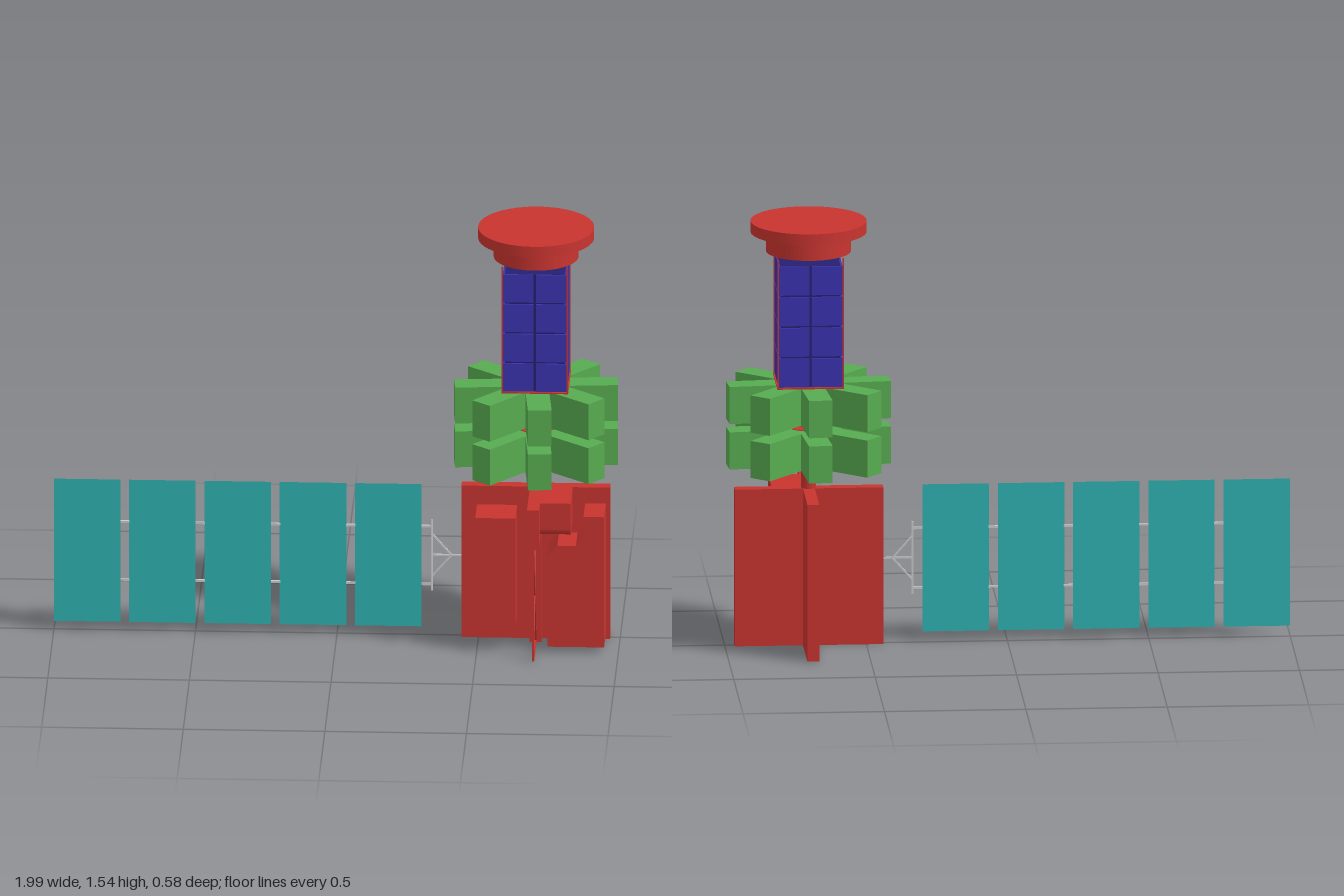
import * as THREE from 'three';

const mat = (color) => new THREE.MeshStandardMaterial({ color, side: THREE.DoubleSide });
const RED = mat(0xc8342f), GREEN = mat(0x57ab50), BLUE = mat(0x3a33b0), DARK = mat(0x262070),
  TEAL = mat(0x2fb2b2), GREY = mat(0xcccccc);
const AXIS = 0.703; // x of the tower axis

export function createModel() {
  const model = new THREE.Group();

  const add = (name, geometry, material, parent = model) => {
    const mesh = new THREE.Mesh(geometry, material);
    mesh.name = name;
    parent.add(mesh);
    return mesh;
  };
  // Box given by its lower and upper limits on each axis
  const block = (name, [x0, x1], [y0, y1], [z0, z1], material, parent) => {
    const mesh = add(name, new THREE.BoxGeometry(x1 - x0, y1 - y0, z1 - z0), material, parent);
    mesh.position.set((x0 + x1) / 2, (y0 + y1) / 2, (z0 + z1) / 2);
    return mesh;
  };
  const disc = (name, r, y0, y1, material = RED) => {
    const mesh = add(name, new THREE.CylinderGeometry(r, r, y1 - y0, 48), material);
    mesh.position.set(AXIS, (y0 + y1) / 2, 0);
    return mesh;
  };
  // Thin square bar between two points
  const bar = (name, a, b, t, material) => {
    const p = new THREE.Vector3(...a), q = new THREE.Vector3(...b);
    const mesh = add(name, new THREE.BoxGeometry(t, t, p.distanceTo(q)), material);
    mesh.position.copy(p).add(q).multiplyScalar(0.5);
    mesh.lookAt(q);
    return mesh;
  };

  // Central post and top cap
  disc('centralPost', 0.027, 0.02, 1.44);
  disc('capLower', 0.15, 1.43, 1.5);
  disc('capUpper', 0.205, 1.5, 1.54);

  // Cross-shaped base: side fins, back fin and short front fin
  const t = 0.021;
  block('sideFins', [0.44, 0.965], [0, 0.57], [-t, t], RED);
  block('backFin', [AXIS - t, AXIS + t], [0, 0.57], [-0.26, 0], RED);
  block('frontFin', [AXIS - t, AXIS + t], [0, 0.57], [0, 0.06], RED);
  block('frontFinTop', [AXIS - t, AXIS + t], [0.42, 0.57], [0.06, 0.263], RED);

  // Open truss under the front fin top
  const trussBars = [
    [[0.004, 0.06], [0.004, 0.258]], [[0.004, 0.258], [0.42, 0.258]],
    [[0.01, 0.255], [0.415, 0.06]], [[0.415, 0.255], [0.01, 0.06]],
  ];
  for (const [[ya, za], [yb, zb]] of trussBars)
    bar('trussBar', [AXIS, ya, za], [AXIS, yb, zb], 0.008, RED);

  // Equipment boxes on the front of the side fins
  block('leftBayBox', [0.495, 0.637], [0.09, 0.5], [t, 0.16], RED).name = 'rightEquipmentBox';
  const stepped = new THREE.Shape([
    [0.75, 0.02], [0.95, 0.02], [0.95, 0.51], [0.877, 0.51],
    [0.877, 0.43], [0.85, 0.4], [0.785, 0.4], [0.75, 0.36],
  ].map(([x, y]) => new THREE.Vector2(x, y)));
  const steppedGeo = new THREE.ExtrudeGeometry(stepped, { depth: 0.16 - t, bevelEnabled: false });
  add('leftEquipmentBox', steppedGeo, RED).position.z = t;

  // Small box near the top with a rounded lower front edge; profile in z, y
  const profile = new THREE.Shape();
  profile.moveTo(0.015, 0.57);
  profile.lineTo(0.015, 0.447);
  profile.lineTo(0.165, 0.447);
  profile.quadraticCurveTo(0.19, 0.45, 0.19, 0.475);
  profile.lineTo(0.19, 0.57);
  const upperGeo = new THREE.ExtrudeGeometry(profile, { depth: 0.11, bevelEnabled: false });
  upperGeo.rotateY(-Math.PI / 2); // profile runs along +z, depth along -x
  add('upperEquipmentBox', upperGeo, RED).position.x = 0.833;

  // Two rings of eight radial boxes
  for (const [y0, y1] of [[0.655, 0.79], [0.82, 0.955]]) {
    const ring = new THREE.Group();
    ring.name = 'boxRing';
    ring.position.x = AXIS;
    model.add(ring);
    for (let i = 0; i < 8; i++) {
      const arm = new THREE.Group();
      arm.name = 'radialBoxArm';
      arm.rotation.y = THREE.MathUtils.degToRad(5 + i * 45);
      ring.add(arm);
      block('radialBox', [0, 0.288], [y0, y1], [-0.042, 0.042], GREEN, arm);
    }
    disc('ringCollar', 0.07, y0 - 0.002, y1 + 0.002);
  }

  // Square upper tower clad with cells, two columns by four rows on each face
  const half = 0.113;
  block('towerFloor', [AXIS - 0.118, AXIS + 0.118], [0.955, 0.96], [-0.118, 0.118], RED);
  block('towerCore', [AXIS - 0.106, AXIS + 0.106], [0.96, 1.4], [-0.106, 0.106], DARK);
  for (let side = 0; side < 4; side++) {
    const face = new THREE.Group();
    face.name = 'towerFace';
    face.position.x = AXIS;
    face.rotation.y = side * Math.PI / 2;
    model.add(face);
    for (let row = 0; row < 4; row++) {
      const y = 0.961 + row * 0.1115;
      for (const x of [-half, 0.004])
        block('towerCell', [x, x + 0.109], [y, y + 0.104], [0.1, half], BLUE, face);
    }
    block('cornerRod', [half - 0.001, half + 0.004], [0.96, 1.43], [half - 0.001, half + 0.004], RED, face);
  }

  // Wing of five thin panels joined by short links
  const wingZ = 0.013, pitch = 0.266, width = 0.235;
  for (let i = 0; i < 5; i++) {
    const x = -1 + i * pitch;
    const panel = add('wingPanel', new THREE.PlaneGeometry(width, 0.535), TEAL);
    panel.position.set(x + width / 2, 0.3025, wingZ);
    for (const y of [0.195, 0.412])
      bar('panelLink', [x + width, y, wingZ], [x + pitch + 0.002, y, wingZ], 0.008, GREY);
  }

  // Wing mount: upright, two braces and a root rod
  bar('mountUpright', [0.335, 0.172, wingZ], [0.335, 0.436, wingZ], 0.007, GREY);
  bar('mountRod', [0.335, 0.305, wingZ], [0.445, 0.305, wingZ], 0.006, GREY);
  for (const y of [0.225, 0.385])
    bar('mountBrace', [0.335, y, wingZ], [0.405, 0.305, wingZ], 0.006, GREY);

  return model;
}
